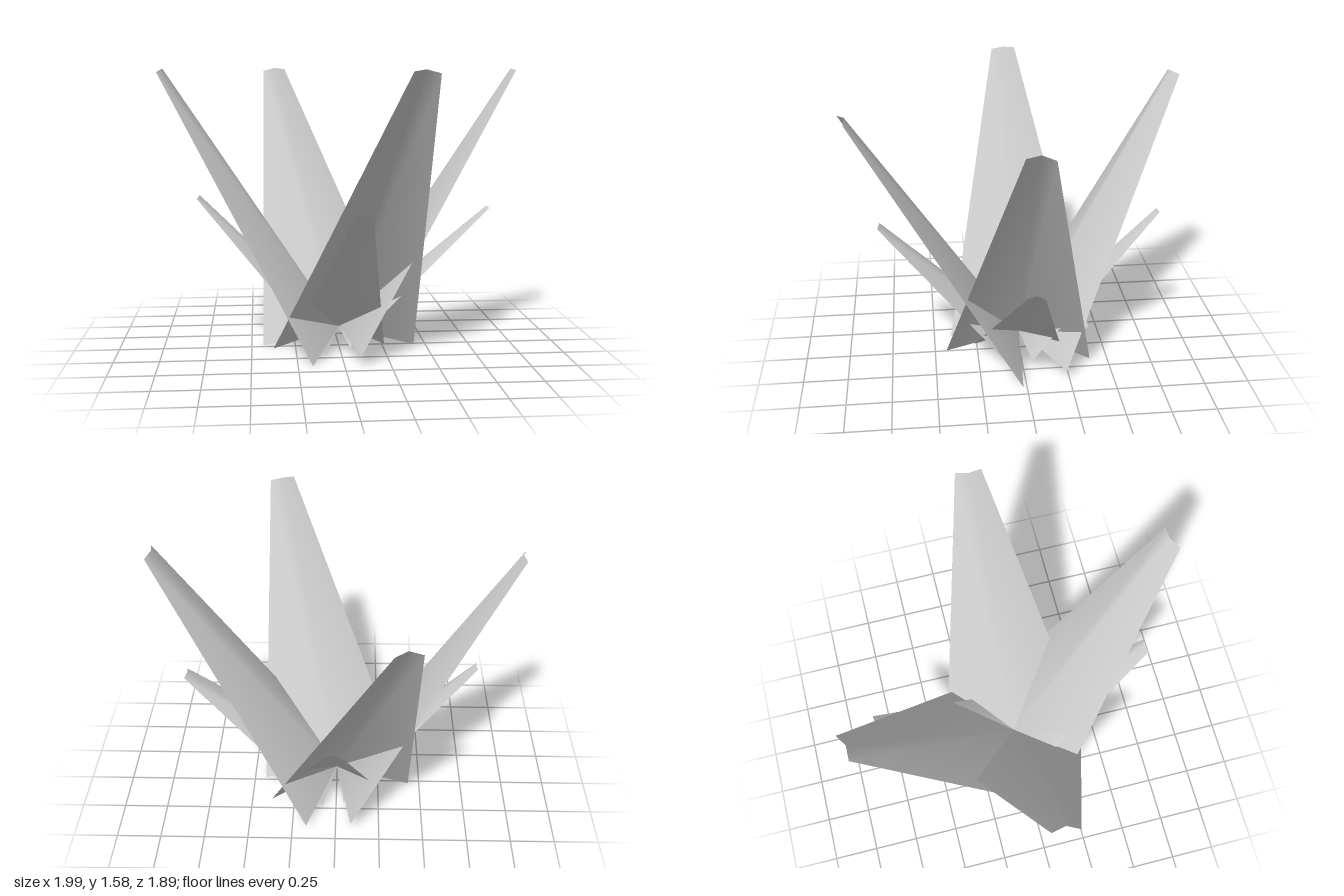
import * as THREE from 'three';

const LENGTH = 1.76; // keel length of a large leaf
const HALF_WIDTH = 0.42;
const FOLD = 0.155; // how far the side edges drop below the keel
const TAPER = 0.167; // tip size relative to the base
const ROLL = -0.12;

// Folded, tapering leaf: two V-shaped cross-sections joined along a shared keel
function leafGeometry() {
  const section = (y, s) => [
    -HALF_WIDTH * s, y, FOLD * s,
    0, y, 0,
    HALF_WIDTH * s, y, FOLD * s,
  ];
  const geometry = new THREE.BufferGeometry();
  geometry.setAttribute('position', new THREE.Float32BufferAttribute(
    [...section(0, 1), ...section(LENGTH, TAPER)], 3));
  geometry.setIndex([0, 3, 4, 0, 4, 1, 1, 4, 5, 1, 5, 2]);
  geometry.computeVertexNormals();
  geometry.rotateY(ROLL);
  return geometry;
}

export function createModel() {
  const model = new THREE.Group();
  model.name = 'leafyPlant';
  const leafGrey = new THREE.MeshStandardMaterial({ color: 0xcccccc, side: THREE.DoubleSide });
  leafGrey.name = 'leafGrey';
  const geometry = leafGeometry();

  // Angles in degrees: yaw around the root, tilt away from vertical
  const addLeaf = (name, yaw, tilt, scale) => {
    const leaf = new THREE.Mesh(geometry, leafGrey);
    leaf.name = name;
    leaf.position.y = 0.1;
    leaf.rotation.set(THREE.MathUtils.degToRad(tilt), THREE.MathUtils.degToRad(yaw), 0, 'YXZ');
    leaf.scale.setScalar(scale);
    model.add(leaf);
  };

  // Tall inner leaves
  [['Front', 20.5], ['Left', 90], ['Back', 200.5], ['Right', 270]]
    .forEach(([side, yaw]) => addLeaf('tallLeaf' + side, yaw, 33.4, 1));

  // Short outer leaves, each leaning a little differently
  [['Front', 4.8, 45.6], ['Left', 90, 50.8], ['Back', 180.7, 46.3], ['Right', 270, 45.4]]
    .forEach(([side, yaw, tilt]) => addLeaf('shortLeaf' + side, yaw, tilt, 0.622));

  return model;
}
